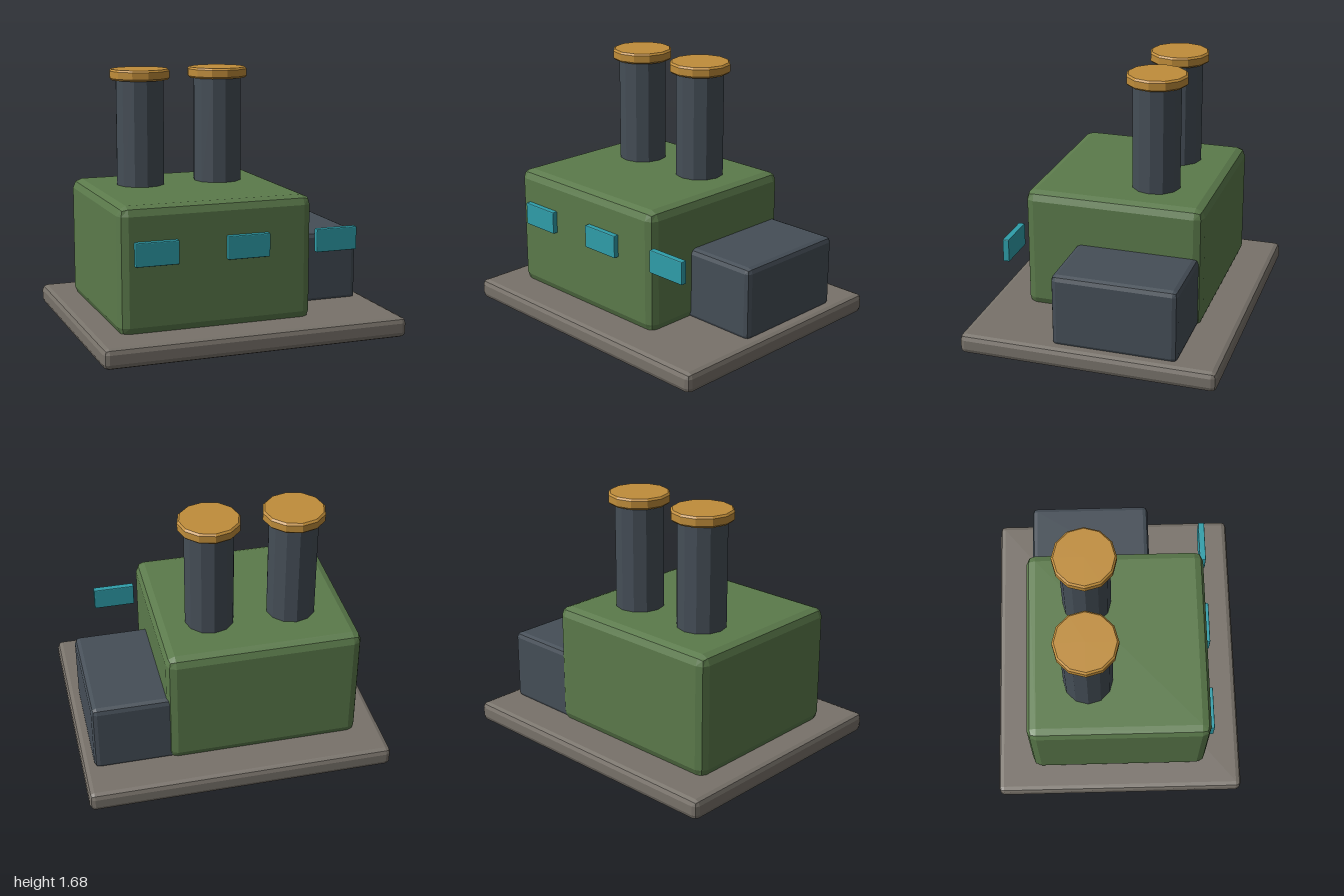
import * as THREE from 'three';
import { RoundedBoxGeometry } from 'three/addons/geometries/RoundedBoxGeometry.js';

const paint = (color) => new THREE.MeshStandardMaterial({ color, flatShading: true });

export function createModel() {
  const model = new THREE.Group();
  const stone = paint(0x78726a);
  const green = paint(0x5b7a4b);
  const slate = paint(0x454e57);
  const brass = paint(0xc08d3a);
  const glass = paint(0x2f9eaa);

  const add = (name, geometry, material, x, y, z) => {
    const mesh = new THREE.Mesh(geometry, material);
    mesh.name = name;
    mesh.position.set(x, y, z);
    model.add(mesh);
  };

  // Bevelled block given by its [min, max] range on each axis
  const block = (name, material, [x0, x1], [y0, y1], [z0, z1], bevel) =>
    add(name, new RoundedBoxGeometry(x1 - x0, y1 - y0, z1 - z0, 1, bevel), material,
      (x0 + x1) / 2, (y0 + y1) / 2, (z0 + z1) / 2);

  // Ground slab, main hall and side annex
  block('baseSlab', stone, [-1, 1], [0, 0.13], [-0.835, 0.835], 0.035);
  block('mainHall', green, [-0.83, 0.44], [0.11, 0.92], [-0.595, 0.59], 0.06);
  block('annex', slate, [0.38, 0.925], [0.11, 0.595], [-0.57, 0.24], 0.035);

  // Row of windows; the last one stands out past the hall
  for (const x of [-0.598, -0.002, 0.593]) {
    block('window', glass, [x - 0.139, x + 0.139], [0.555, 0.705], [0.582, 0.624], 0.006);
  }

  // Two twelve-sided chimneys with chamfered caps
  const capProfile = [[0, -0.035], [0.188, -0.035], [0.2, -0.023], [0.2, 0.023], [0.188, 0.035], [0, 0.035]]
    .map(([r, y]) => new THREE.Vector2(r, y));
  for (const x of [-0.455, 0.085]) {
    add('chimney', new THREE.CylinderGeometry(0.16, 0.16, 0.74, 12), slate, x, 1.26, -0.195);
    add('chimneyCap', new THREE.LatheGeometry(capProfile, 12), brass, x, 1.645, -0.195);
  }

  return model;
}
